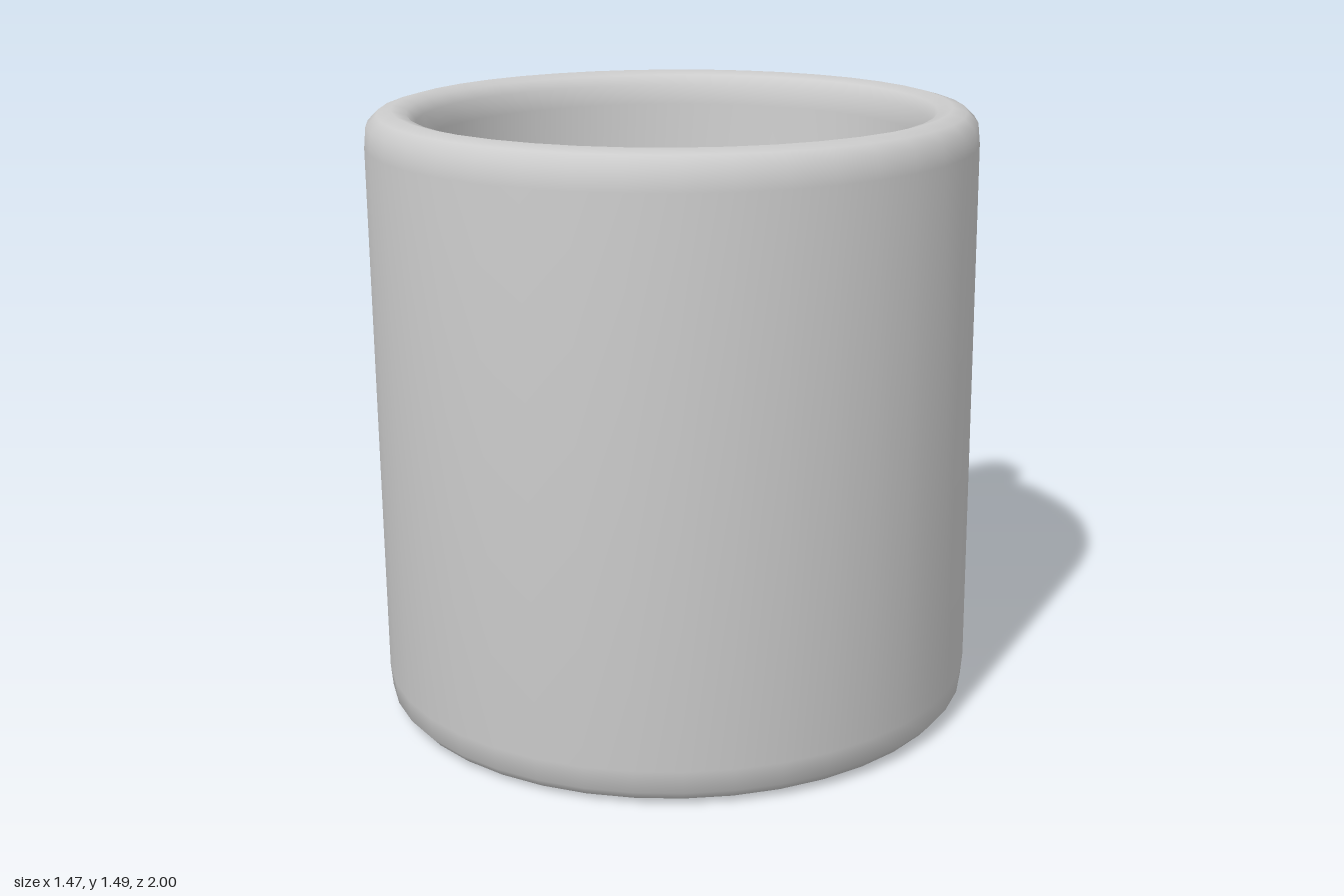
import * as THREE from 'three';
import { toCreasedNormals } from 'three/addons/utils/BufferGeometryUtils.js';

const CUP_Z = 0.265; // cup axis
const HANDLE_X = 0.08; // the handle sits slightly to one side

// Loft of closed rings along a centre line [z, y, radius] in a plane of constant x.
function loftHandle(path, sides) {
  const positions = [], index = [];
  path.forEach(([z, y, r], i) => {
    const a = path[Math.max(i - 1, 0)], b = path[Math.min(i + 1, path.length - 1)];
    const t = new THREE.Vector2(b[0] - a[0], b[1] - a[1]).normalize();
    for (let j = 0; j < sides; j++) {
      const angle = (j / sides) * Math.PI * 2;
      const out = Math.cos(angle) * r, side = Math.sin(angle) * r * 1.1;
      positions.push(HANDLE_X + side, y + out * t.x * -1, z + out * t.y);
      if (i === 0) continue;
      const p = (i - 1) * sides + j, q = (i - 1) * sides + ((j + 1) % sides);
      index.push(p, q, p + sides, q, q + sides, p + sides);
    }
  });
  const geometry = new THREE.BufferGeometry();
  geometry.setAttribute('position', new THREE.Float32BufferAttribute(positions, 3));
  geometry.setIndex(index);
  geometry.computeVertexNormals();
  return geometry;
}

export function createModel() {
  const model = new THREE.Group();
  const material = new THREE.MeshStandardMaterial({ color: 0xcccccc, side: THREE.DoubleSide });

  // Cup: base, chamfered foot, wall, rounded rim, inner wall and floor
  const profile = [
    [0, 0], [0.67, 0], [0.71, 0.012], [0.73, 0.035], [0.735, 0.09],
    [0.735, 1.4], [0.73, 1.45], [0.705, 1.475], [0.67, 1.485],
    [0.635, 1.475], [0.615, 1.45], [0.607, 1.4],
    [0.605, 0.2], [0.59, 0.14], [0.54, 0.115], [0, 0.11],
  ].map(([r, y]) => new THREE.Vector2(r, y));
  const cup = new THREE.Mesh(toCreasedNormals(new THREE.LatheGeometry(profile, 40), 0.75), material);
  cup.name = 'cup';
  cup.position.z = CUP_Z;
  model.add(cup);

  // Handle: round loop that flares where it meets the wall
  const path = [
    [-0.41, 1.165, 0.2], [-0.47, 1.165, 0.185], [-0.51, 1.168, 0.125], [-0.555, 1.17, 0.079],
    [-0.69, 1.145, 0.079], [-0.78, 1.085, 0.078], [-0.86, 0.99, 0.078],
    [-0.905, 0.91, 0.078], [-0.922, 0.82, 0.078], [-0.905, 0.72, 0.078],
    [-0.86, 0.62, 0.078], [-0.78, 0.535, 0.078], [-0.69, 0.485, 0.079],
    [-0.555, 0.455, 0.077], [-0.51, 0.457, 0.125], [-0.47, 0.46, 0.205], [-0.41, 0.46, 0.22],
  ];
  const handle = new THREE.Mesh(loftHandle(path, 6), material);
  handle.name = 'handle';
  model.add(handle);

  return model;
}
